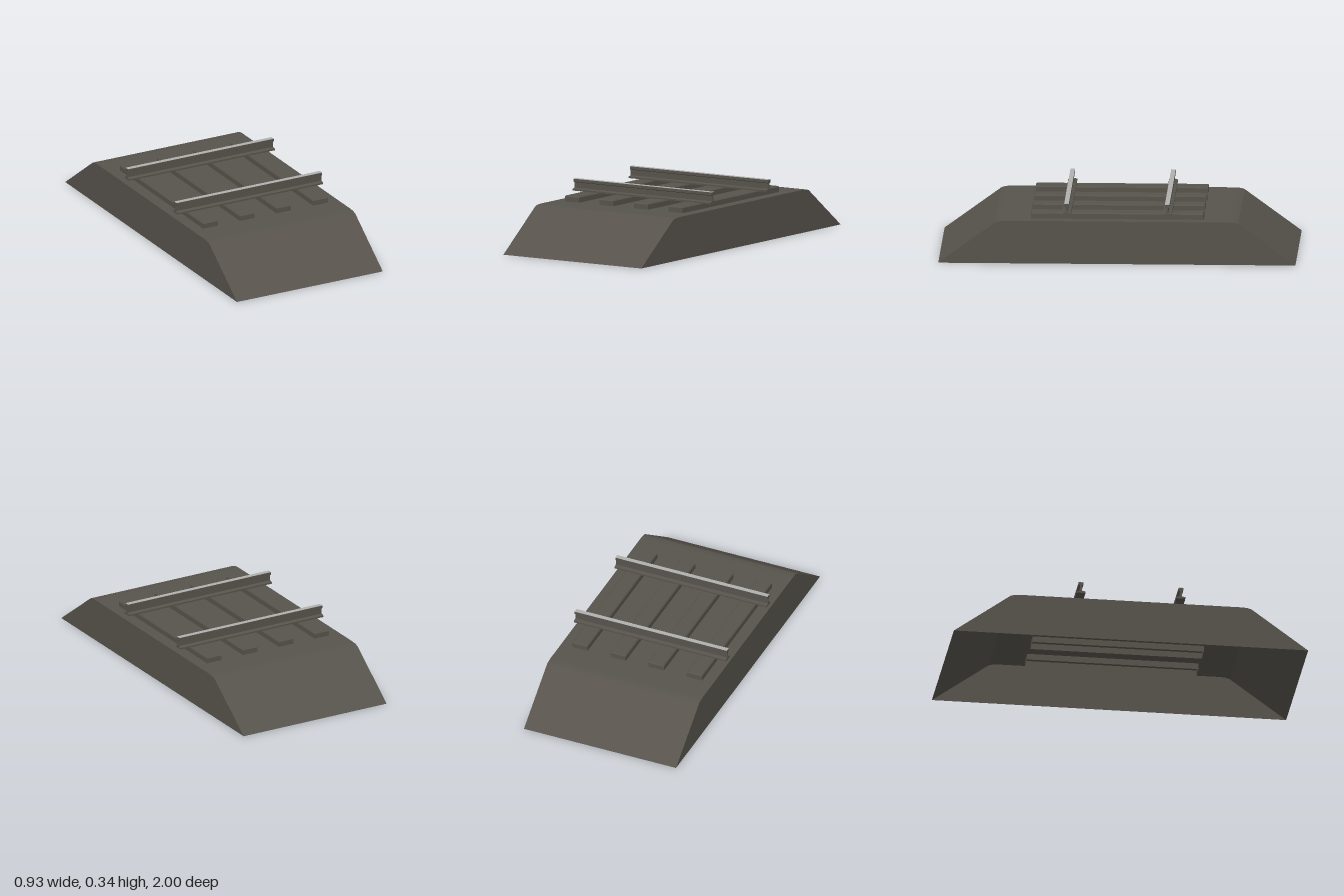
import * as THREE from 'three';

const HALF = 0.465; // half length of the track piece along x

const stone = new THREE.MeshStandardMaterial({ color: 0x57534c, side: THREE.DoubleSide });
stone.name = 'darkStoneBrown';
const steel = new THREE.MeshStandardMaterial({ color: 0xb0b0ae });
steel.name = 'polishedSteel';

// quads (four corners each) to a flat-shaded open surface
function surface(quads) {
  const pos = [];
  for (const [a, b, c, d] of quads) pos.push(...a, ...b, ...c, ...a, ...c, ...d);
  const geo = new THREE.BufferGeometry();
  geo.setAttribute('position', new THREE.Float32BufferAttribute(pos, 3));
  geo.computeVertexNormals();
  return geo;
}

function add(parent, name, geo, mat) {
  const mesh = new THREE.Mesh(geo, mat);
  mesh.name = name;
  parent.add(mesh);
  return mesh;
}

// half profile [offset, y], mirrored into a closed outline
const mirrored = (half) => [...half, ...half.slice().reverse().map(([z, y]) => [-z, y])];

// hollow bank, open underneath
function ballastGeometry() {
  const profile = mirrored([[1, 0], [0.68, 0.234], [0.66, 0.24], [0.632, 0.243]]);
  const quads = [];
  for (let i = 0; i < profile.length - 1; i++) {
    const [z0, y0] = profile[i], [z1, y1] = profile[i + 1];
    quads.push([[-HALF, y0, z0], [HALF, y0, z0], [HALF, y1, z1], [-HALF, y1, z1]]);
  }
  // end walls, in horizontal bands
  for (let i = 0; i < 3; i++) {
    const [z0, y0] = profile[i], [z1, y1] = profile[i + 1];
    quads.push([[HALF, y0, z0], [HALF, y0, -z0], [HALF, y1, -z1], [HALF, y1, z1]]);
    quads.push([[-HALF, y0, -z0], [-HALF, y0, z0], [-HALF, y1, z1], [-HALF, y1, -z1]]);
  }
  return surface(quads);
}

// bevelled sleeper, open underneath and sunk into the bank
function sleeperGeometry() {
  const ring = (x, z, y) => [[x, y, z], [x, y, -z], [-x, y, -z], [-x, y, z]];
  const rings = [ring(0.047, 0.484, 0.208), ring(0.047, 0.484, 0.271), ring(0.042, 0.479, 0.277)];
  const quads = [rings[2]];
  for (let r = 0; r < 2; r++) {
    for (let i = 0; i < 4; i++) {
      const j = (i + 1) % 4;
      quads.push([rings[r][i], rings[r][j], rings[r + 1][j], rings[r + 1][i]]);
    }
  }
  return surface(quads);
}

// I-shaped rail section extruded along x
function railGeometry() {
  const outline = mirrored([
    [0.025, 0.277], [0.025, 0.286], [0.005, 0.291], [0.005, 0.322],
    [0.013, 0.326], [0.013, 0.342],
  ]);
  const shape = new THREE.Shape(outline.map(([z, y]) => new THREE.Vector2(z, y)));
  const geo = new THREE.ExtrudeGeometry(shape, { depth: 2 * HALF, bevelEnabled: false });
  return geo.translate(0, 0, -HALF).rotateY(Math.PI / 2);
}

export function createModel() {
  const model = new THREE.Group();
  model.name = 'railwayTrack';
  add(model, 'ballastBank', ballastGeometry(), stone);

  const sleeper = sleeperGeometry();
  for (let i = 0; i < 4; i++) {
    add(model, 'sleeper' + (i + 1), sleeper, stone).position.x = (i - 1.5) * 0.2335;
  }

  const rail = railGeometry();
  const tread = new THREE.BoxGeometry(2 * HALF, 0.0015, 0.026).translate(0, 0.34275, 0);
  for (const side of [1, -1]) {
    const group = new THREE.Group();
    group.name = side > 0 ? 'frontRail' : 'backRail';
    group.position.z = side * 0.282;
    add(group, 'railBody', rail, stone);
    add(group, 'railTread', tread, steel);
    model.add(group);
  }
  return model;
}
